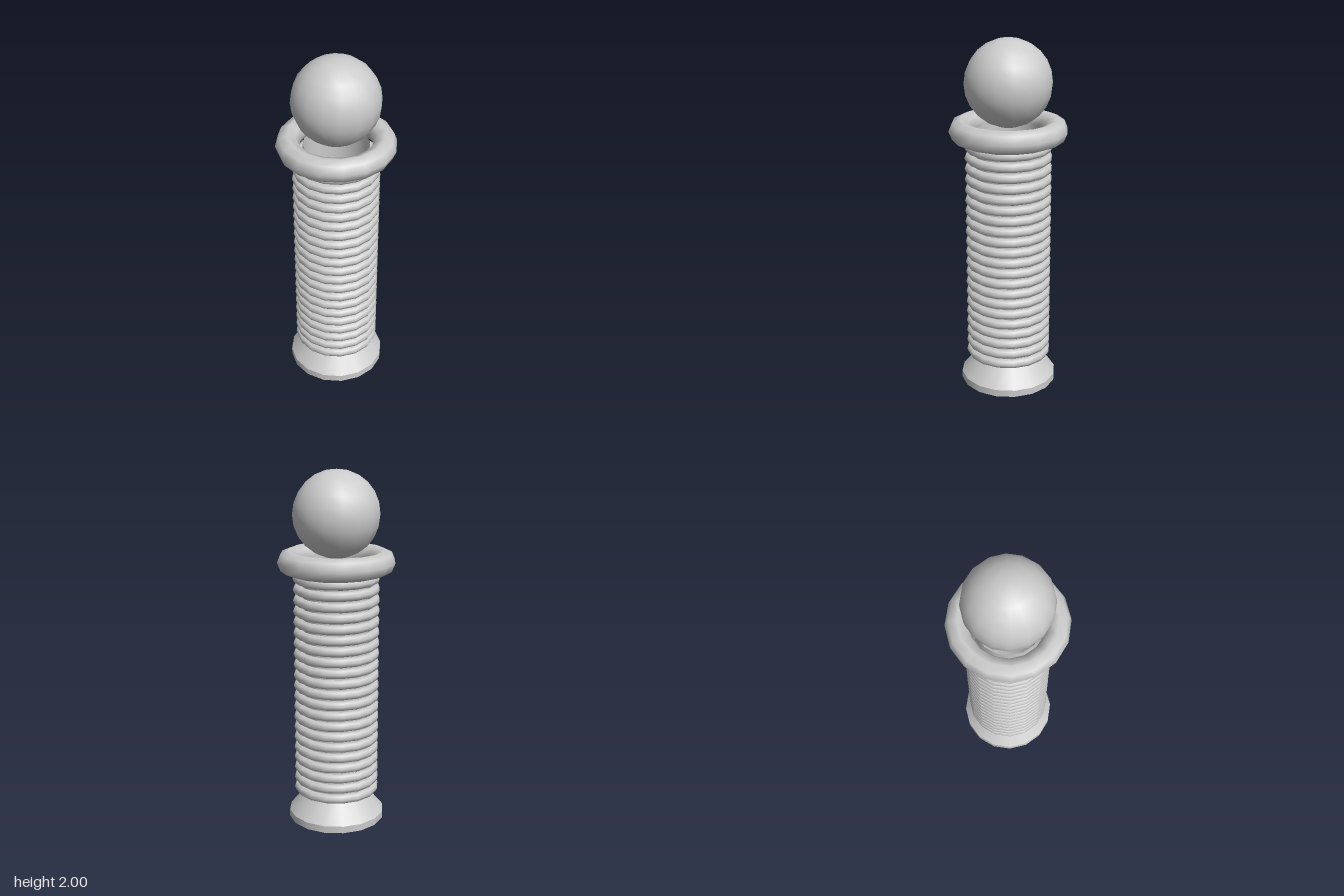
import * as THREE from 'three';

const SIDES = 16;
const material = new THREE.MeshStandardMaterial({ color: 0xcccccc });
const openMaterial = new THREE.MeshStandardMaterial({ color: 0xcccccc, side: THREE.DoubleSide });

// Horizontal ring with its outer edge at the given radius
function ring(name, outer, tube, y) {
  const geometry = new THREE.TorusGeometry(outer - tube, tube, 8, SIDES).rotateX(-Math.PI / 2);
  const mesh = new THREE.Mesh(geometry, material);
  mesh.name = name;
  mesh.position.y = y;
  return mesh;
}

// Open turned wall; separate sections keep the edges between them sharp
function wall(name, bottomRadius, topRadius, y0, y1) {
  const geometry = new THREE.CylinderGeometry(topRadius, bottomRadius, y1 - y0, SIDES, 1, true);
  const mesh = new THREE.Mesh(geometry, openMaterial);
  mesh.name = name;
  mesh.position.y = (y0 + y1) / 2;
  return mesh;
}

export function createModel() {
  const model = new THREE.Group();
  model.name = 'ribbedHandle';

  // Hollow flared foot and inner tube
  model.add(
    wall('footRim', 0.273, 0.273, 0, 0.04),
    wall('footFlare', 0.273, 0.18, 0.04, 0.15),
    wall('innerTube', 0.18, 0.18, 0.15, 1.5)
  );

  // Stack of grip rings
  const grip = new THREE.Group();
  grip.name = 'gripRings';
  const count = 21;
  for (let i = 0; i < count; i++) {
    grip.add(ring('gripRing', 0.242, 0.027, THREE.MathUtils.lerp(0.183, 1.41, i / (count - 1))));
  }
  model.add(grip);

  // Thick collar
  model.add(ring('collar', 0.327, 0.065, 1.5));

  // Ball on top
  const ball = new THREE.Mesh(new THREE.SphereGeometry(0.241, SIDES, 12), material);
  ball.name = 'ball';
  ball.position.y = 1.759;
  model.add(ball);

  return model;
}
